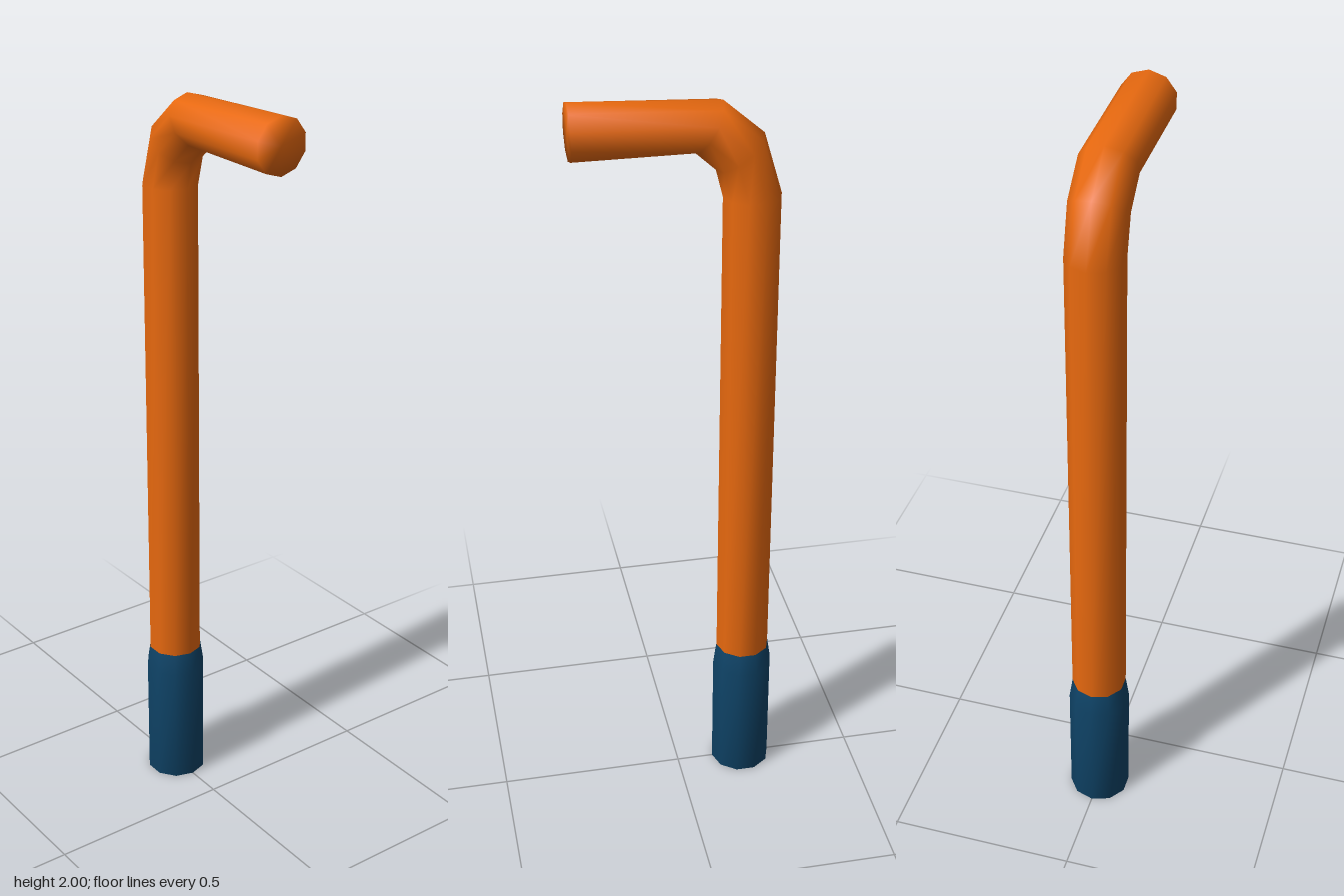
import * as THREE from 'three';

const SIDES = 10;

// Lofts ten-sided rings; each ring is [outerX, outerY, innerX, innerY, depthRadius].
function loft(name, rings, capStart, capEnd, material) {
  const pos = [], index = [];
  for (const [ox, oy, ix, iy, r] of rings) {
    for (let k = 0; k < SIDES; k++) {
      const a = (k / SIDES) * Math.PI * 2, c = Math.cos(a) / 2;
      pos.push((ox + ix) / 2 + (ox - ix) * c, (oy + iy) / 2 + (oy - iy) * c, r * Math.sin(a));
    }
  }
  for (let i = 0; i < rings.length - 1; i++) {
    for (let k = 0; k < SIDES; k++) {
      const a = i * SIDES + k, b = i * SIDES + (k + 1) % SIDES;
      index.push(a, b, b + SIDES, a, b + SIDES, a + SIDES);
    }
  }
  // End caps share the rim vertices so the shading rolls over the edge
  const cap = (i, flip) => {
    const [ox, oy, ix, iy] = rings[i], centre = pos.length / 3;
    pos.push((ox + ix) / 2, (oy + iy) / 2, 0);
    for (let k = 0; k < SIDES; k++) {
      const a = i * SIDES + k, b = i * SIDES + (k + 1) % SIDES;
      if (flip) index.push(centre, b, a);
      else index.push(centre, a, b);
    }
  };
  if (capStart) cap(0, true);
  if (capEnd) cap(rings.length - 1, false);

  const geometry = new THREE.BufferGeometry();
  geometry.setAttribute('position', new THREE.Float32BufferAttribute(pos, 3));
  geometry.setIndex(index);
  geometry.computeVertexNormals();
  const mesh = new THREE.Mesh(geometry, material);
  mesh.name = name;
  return mesh;
}

export function createModel() {
  const orange = new THREE.MeshStandardMaterial({ color: 0xe8690f });
  orange.name = 'orange';
  const navy = new THREE.MeshStandardMaterial({ color: 0x0f4468 });
  navy.name = 'navy blue';

  const group = new THREE.Group();
  group.name = 'bentTube';
  const X = -0.183, R = 0.073, S = 0.082;

  // Upright tube with a faceted bend and a short arm
  group.add(loft('tube', [
    [X - R, 0.4, X + R, 0.4, R],
    [X - R, 1.74, X + R, 1.74, R],
    [-0.21, 1.895, -0.092, 1.81, R],
    [-0.108, 1.982, -0.037, 1.86, R],
    [0.262, 2.0, 0.262, 1.857, R],
  ], false, true, orange));

  // Mouthpiece sleeve, tapering into the tube at its top
  group.add(loft('sleeve', [
    [X - S, 0, X + S, 0, S],
    [X - S, 0.34, X + S, 0.34, S],
    [X - R, 0.4, X + R, 0.4, R],
  ], true, false, navy));

  return group;
}
